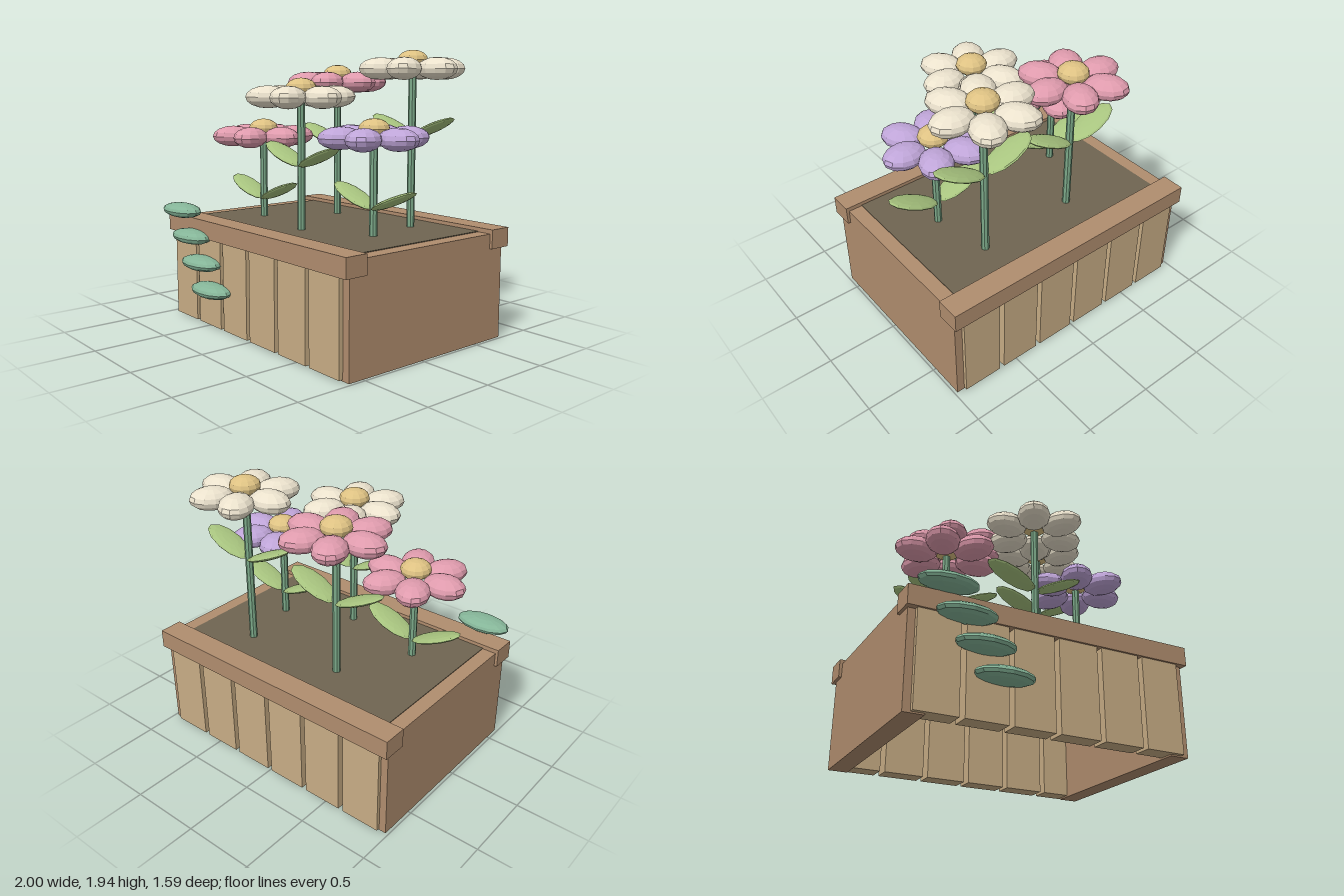
import * as THREE from 'three';

const mat = (color) => new THREE.MeshStandardMaterial({ color, flatShading: true });
const WOOD = mat(0xb08d6e), SLAT = mat(0xc8ad85), SOIL = mat(0x6f6551);
const STEM = mat(0x7ba888), LEAF = mat(0xa8c47f), VINE = mat(0x85b598), HUB = mat(0xdec283);
const PINK = mat(0xdf9bad), CREAM = mat(0xebe2cd), LILAC = mat(0xbfa5d8);

const ball = new THREE.SphereGeometry(1, 12, 8);

function add(parent, name, geometry, material, x, y, z) {
  const mesh = new THREE.Mesh(geometry, material);
  mesh.name = name;
  mesh.position.set(x, y, z);
  parent.add(mesh);
  return mesh;
}

// Box given by its minimum and maximum on each axis
function box(parent, name, material, [x0, x1], [y0, y1], [z0, z1]) {
  return add(parent, name, new THREE.BoxGeometry(x1 - x0, y1 - y0, z1 - z0), material,
    (x0 + x1) / 2, (y0 + y1) / 2, (z0 + z1) / 2);
}

function ellipsoid(parent, name, material, pos, radii) {
  const mesh = add(parent, name, ball, material, ...pos);
  mesh.scale.set(...radii);
  return mesh;
}

function makePlanter() {
  const planter = new THREE.Group();
  planter.name = 'planterBox';
  // Solid end panels
  box(planter, 'leftEndPanel', WOOD, [0.845, 0.98], [0, 0.73], [-0.75, 0.61]);
  box(planter, 'rightEndPanel', WOOD, [-0.98, -0.845], [0, 0.73], [-0.75, 0.61]);
  // Spaced slats on the front and back
  for (let i = 0; i < 6; i++) {
    const x = -0.93 + i * 0.315;
    box(planter, 'frontSlat', SLAT, [x, x + 0.28], [0.01, 0.72], [0.51, 0.64]);
    box(planter, 'backSlat', SLAT, [x, x + 0.28], [0.01, 0.72], [-0.775, -0.645]);
  }
  // Top rails
  box(planter, 'frontRail', WOOD, [-1, 1], [0.63, 0.76], [0.49, 0.655]);
  box(planter, 'backRail', WOOD, [-1, 1], [0.63, 0.76], [-0.795, -0.63]);
  box(planter, 'soil', SOIL, [-0.88, 0.88], [0.53, 0.735], [-0.66, 0.53]);
  return planter;
}

function makeFlower(x, z, height, petalMaterial) {
  const flower = new THREE.Group();
  flower.name = 'flower';
  flower.position.set(x, 0, z);
  const base = 0.7;
  add(flower, 'stem', new THREE.CylinderGeometry(0.027, 0.027, height - base, 8), STEM,
    0, (height + base) / 2, 0);

  // Pair of rising leaves
  for (const side of [-1, 1]) {
    const leaf = ellipsoid(flower, 'leaf', LEAF, [side * 0.183, height - 0.393, 0], [0.195, 0.025, 0.1]);
    leaf.rotation.z = side * 0.4;
  }

  // Ring of six petals round the hub
  for (let i = 0; i < 6; i++) {
    const a = (i * Math.PI) / 3;
    const petal = ellipsoid(flower, 'petal', petalMaterial,
      [Math.cos(a) * 0.22, height, -Math.sin(a) * 0.22], [0.15, 0.075, 0.115]);
    petal.rotation.y = a;
  }
  ellipsoid(flower, 'flowerCentre', HUB, [0, height + 0.058, 0], [0.105, 0.067, 0.105]);
  return flower;
}

export function createModel() {
  const model = new THREE.Group();
  model.name = 'flowerPlanter';
  model.add(makePlanter());

  const flowers = [
    [-0.54, 0.115, 1.33, PINK],
    [-0.27, -0.37, 1.72, PINK],
    [0.075, 0.245, 1.63, CREAM],
    [0.47, -0.4, 1.815, CREAM],
    [0.55, 0.025, 1.375, LILAC],
  ];
  for (const f of flowers) model.add(makeFlower(...f));

  // Trailing leaves hanging over the front rail
  for (let i = 0; i < 4; i++) {
    ellipsoid(model, 'trailingLeaf', VINE,
      [-0.76 + i * 0.125, 0.808 - i * 0.173, 0.685], [0.2, 0.052, 0.108]);
  }
  return model;
}
